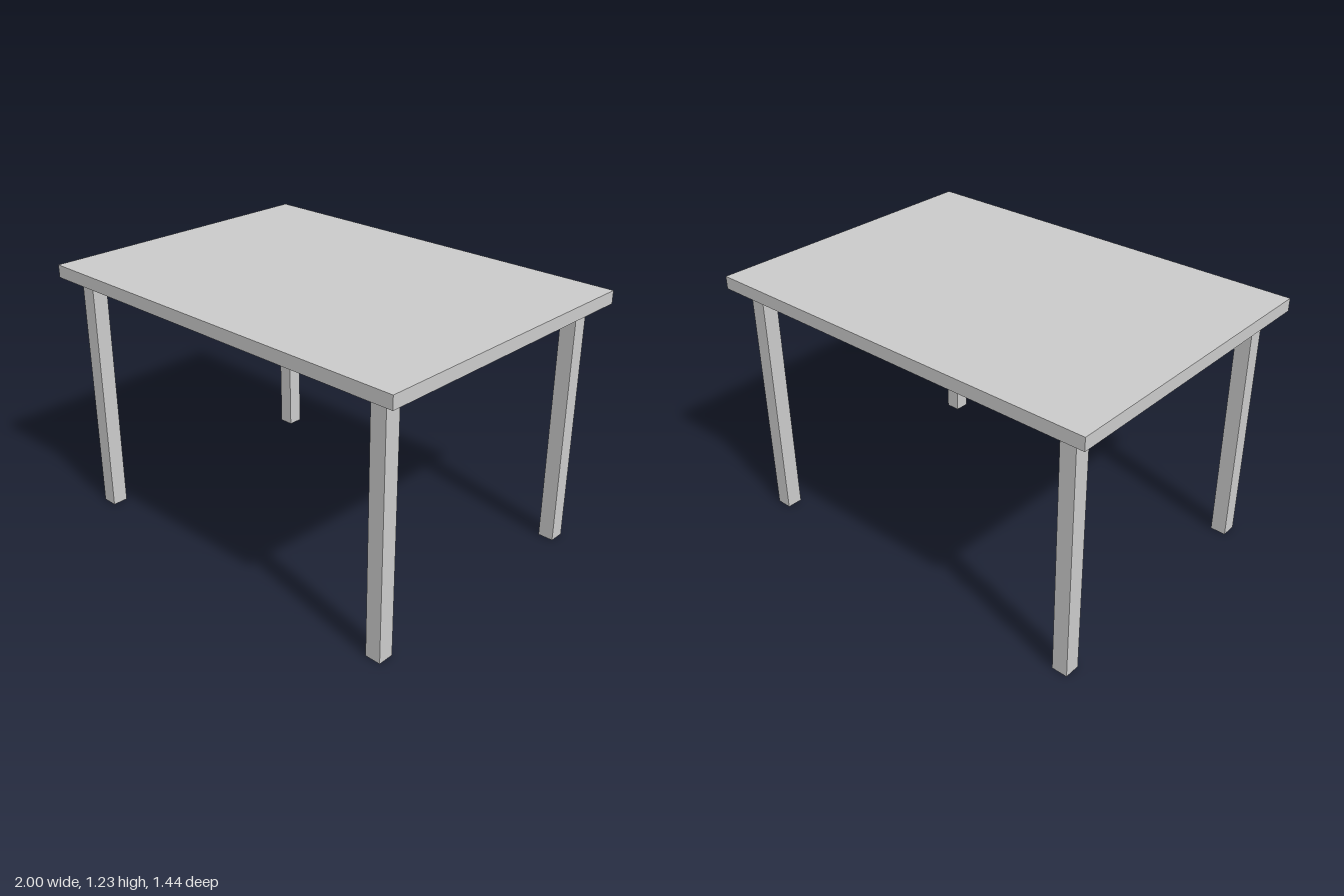
import * as THREE from 'three';

const WIDTH = 2, DEPTH = 1.44, HEIGHT = 1.23, THICKNESS = 0.06;
const LEG = 0.075, LEG_X = 0.879, LEG_Z = 0.617;

export function createModel() {
  const table = new THREE.Group();
  table.name = 'table';
  const material = new THREE.MeshStandardMaterial({ color: 0xcccccc });

  const addBox = (name, size, position) => {
    const mesh = new THREE.Mesh(new THREE.BoxGeometry(...size), material);
    mesh.name = name;
    mesh.position.set(...position);
    table.add(mesh);
  };

  // Flat slab top
  addBox('tabletop', [WIDTH, THICKNESS, DEPTH], [0, HEIGHT - THICKNESS / 2, 0]);

  // Four square legs, inset from the corners
  const legHeight = HEIGHT - THICKNESS;
  for (const [xName, sx] of [['Left', 1], ['Right', -1]]) {
    for (const [zName, sz] of [['front', 1], ['back', -1]]) {
      addBox(`${zName}${xName}Leg`, [LEG, legHeight, LEG], [sx * LEG_X, legHeight / 2, sz * LEG_Z]);
    }
  }
  return table;
}
